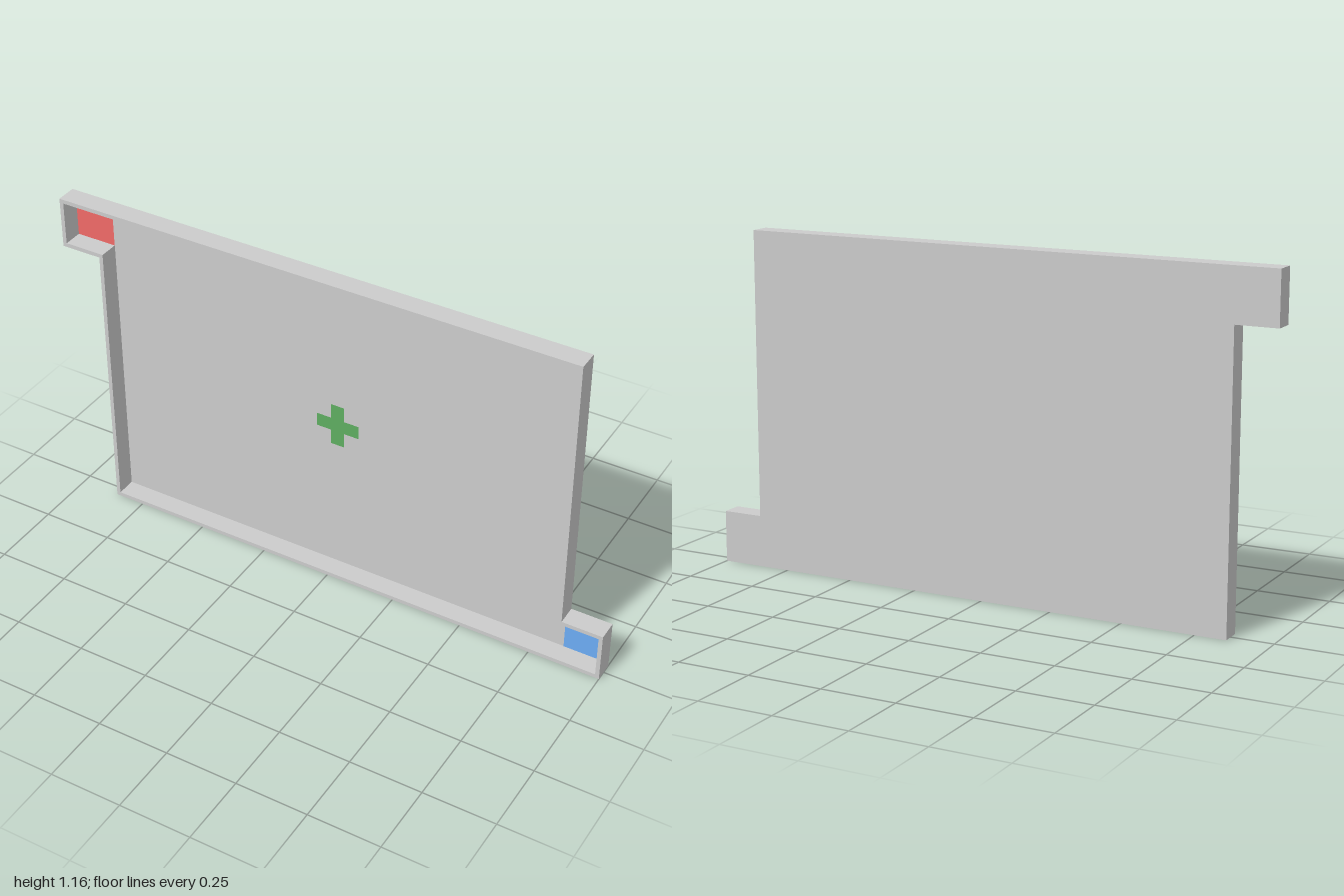
import * as THREE from 'three';

const D = 0.036;     // half depth of the tray
const WALL = 0.014;  // wall thickness
const FLOOR = 0.003; // floor thickness

function material(color = 0xcccccc) {
  return new THREE.MeshStandardMaterial({ color, flatShading: true });
}

// Outline of the arena, moved inwards by t: a rectangle with two corner bays
function outline(t) {
  const x0 = 0.857 - t, x1 = 1 - t, top = 1.16 - t, bay = 0.178 - t;
  return [
    [-x0, t], [x1, t], [x1, bay], [x0, bay],
    [x0, top], [-x1, top], [-x1, 1.16 - bay], [-x0, 1.16 - bay],
  ].map(([x, y]) => new THREE.Vector2(x, y));
}

function extrude(name, shape, depth, z, color) {
  const geometry = new THREE.ExtrudeGeometry(shape, { depth, bevelEnabled: false });
  geometry.translate(0, 0, z);
  const mesh = new THREE.Mesh(geometry, material(color));
  mesh.name = name;
  return mesh;
}

// Flat coloured marking lying just above the floor
function marking(name, shape, x, y, color) {
  const mesh = new THREE.Mesh(new THREE.ShapeGeometry(shape), material(color));
  mesh.position.set(x, y, -D + FLOOR + 0.0008);
  mesh.name = name;
  return mesh;
}

function rectangle(w, h) {
  return new THREE.Shape([[-1, -1], [1, -1], [1, 1], [-1, 1]]
    .map(([x, y]) => new THREE.Vector2(x * w / 2, y * h / 2)));
}

function cross(r, a) {
  return new THREE.Shape([
    [-a, -r], [a, -r], [a, -a], [r, -a], [r, a], [a, a],
    [a, r], [-a, r], [-a, a], [-r, a], [-r, -a], [-a, -a],
  ].map(([x, y]) => new THREE.Vector2(x, y)));
}

export function createModel() {
  const group = new THREE.Group();
  group.name = 'arena';

  // Border wall and floor panel
  const wall = new THREE.Shape(outline(0));
  wall.holes.push(new THREE.Path(outline(WALL).reverse()));
  group.add(extrude('borderWall', wall, 2 * D, -D));
  group.add(extrude('floor', new THREE.Shape(outline(WALL)), FLOOR, -D));

  // Corner zones and centre mark
  const w = 0.143, h = 0.15, x = 0.9145, y = WALL + h / 2;
  group.add(marking('redZone', rectangle(w, h), -x, 1.16 - y, 0xf06a68));
  group.add(marking('blueZone', rectangle(w, h), x, y, 0x6cacf4));
  group.add(marking('centreCross', cross(0.078, 0.024), 0, 0.58, 0x5ead60));
  return group;
}
